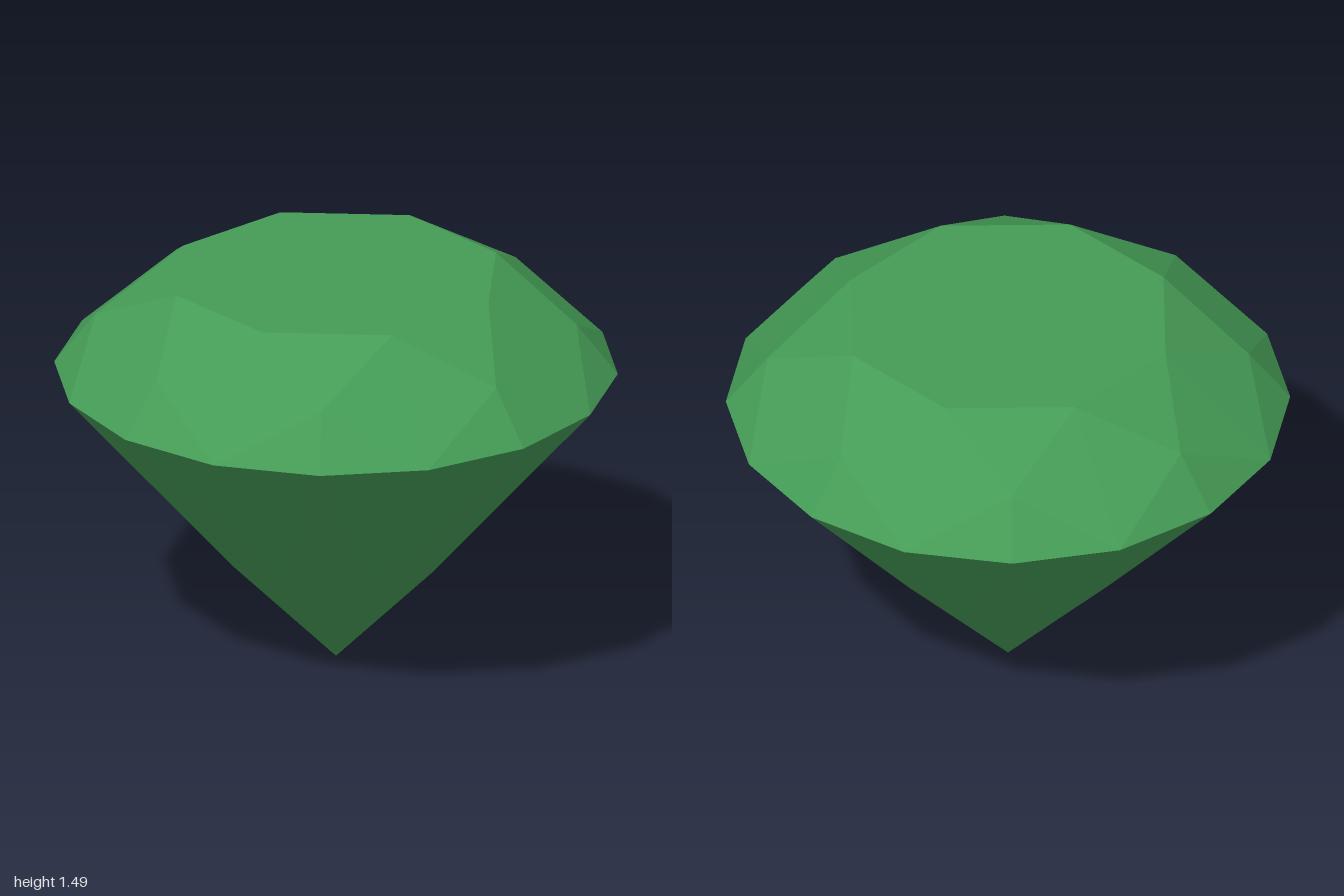
import * as THREE from 'three';

// Brilliant-cut gem: 8-fold symmetry, 16-sided girdle
const FOLD = 8;
const START = THREE.MathUtils.degToRad(-9.2);
const STEP = Math.PI / FOLD;

// Point on a horizontal ring, at a multiple of half a fold
function ringPoint(radius, y, step) {
  const a = START + step * STEP;
  return new THREE.Vector3(radius * Math.cos(a), y, radius * Math.sin(a));
}

const table = k => ringPoint(0.608, 1.485, 2 * k);
const crownMid = k => ringPoint(0.864, 1.31, 2 * k + 1);
const girdle = s => ringPoint(1.013, 1.12, s);
const lower = k => ringPoint(0.385, 0.395, 2 * k);
const culet = new THREE.Vector3(0, 0, 0);

// Flat facets: each polygon is fanned into separate triangles
function facetMesh(name, polygons, material) {
  const points = [];
  for (const p of polygons) {
    for (let i = 1; i < p.length - 1; i++) points.push(p[0], p[i], p[i + 1]);
  }
  const geometry = new THREE.BufferGeometry().setFromPoints(points);
  geometry.computeVertexNormals();
  const mesh = new THREE.Mesh(geometry, material);
  mesh.name = name;
  return mesh;
}

export function createModel() {
  const green = new THREE.MeshStandardMaterial({ color: 0x459c56, flatShading: true });
  green.name = 'gem green';

  const tableTop = [];
  const stars = [], kites = [], upperHalves = [];
  const lowerHalves = [], mains = [];

  for (let k = 0; k < FOLD; k++) {
    const s = 2 * k;
    tableTop.unshift(table(k));
    // Crown
    stars.push([crownMid(k), table(k), table(k + 1)]);
    kites.push([table(k), crownMid(k), girdle(s), crownMid(k - 1)]);
    upperHalves.push([crownMid(k), girdle(s + 1), girdle(s)]);
    upperHalves.push([crownMid(k), girdle(s + 2), girdle(s + 1)]);
    // Pavilion
    lowerHalves.push([lower(k), girdle(s), girdle(s + 1)]);
    lowerHalves.push([lower(k), girdle(s - 1), girdle(s)]);
    mains.push([girdle(s + 1), lower(k + 1), culet, lower(k)]);
  }

  const gem = new THREE.Group();
  gem.name = 'gem';
  gem.add(
    facetMesh('table', [tableTop], green),
    facetMesh('crownStarFacets', stars, green),
    facetMesh('crownKiteFacets', kites, green),
    facetMesh('crownHalfFacets', upperHalves, green),
    facetMesh('pavilionHalfFacets', lowerHalves, green),
    facetMesh('pavilionMainFacets', mains, green)
  );
  return gem;
}
